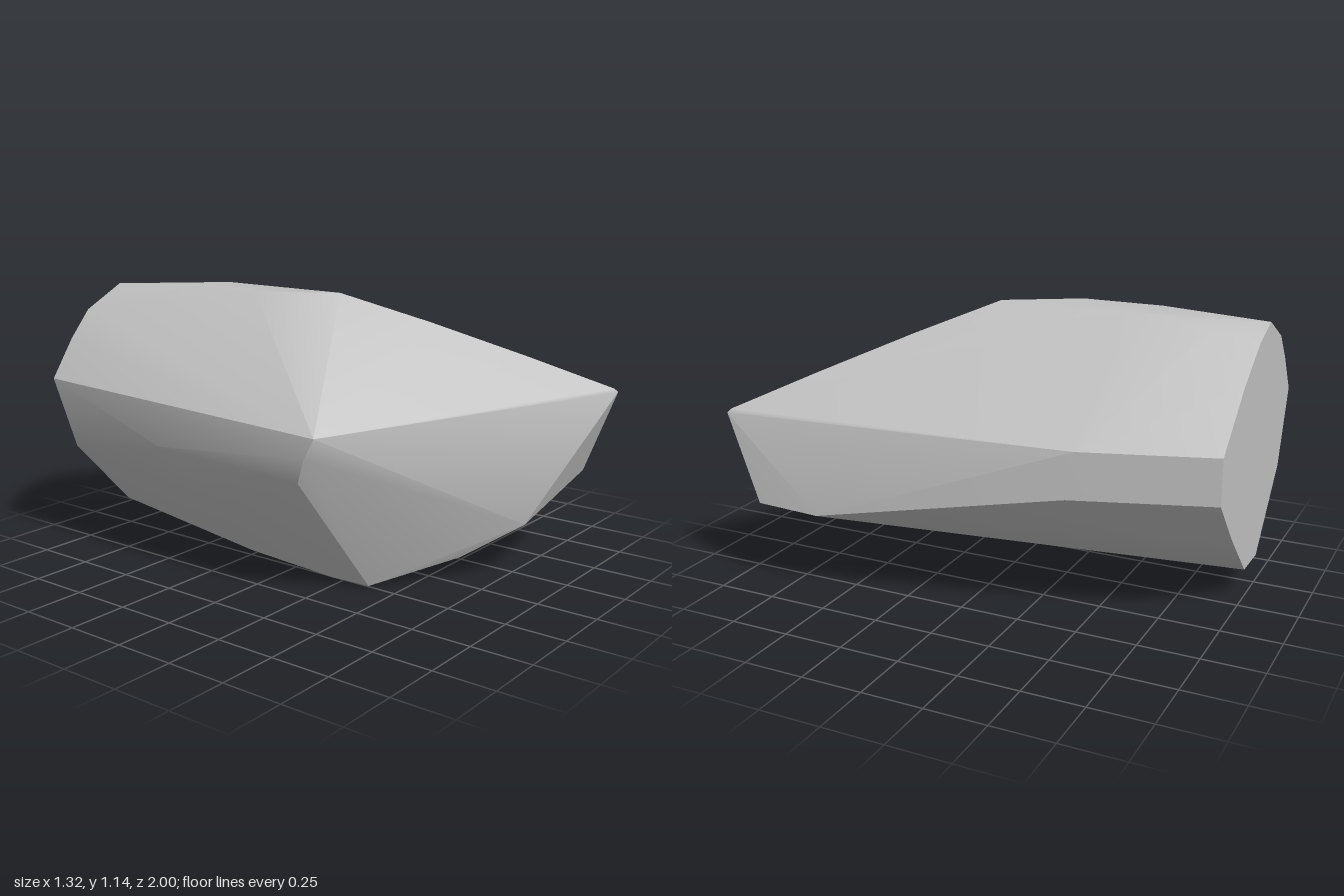
import * as THREE from 'three';
import { ConvexGeometry } from 'three/addons/geometries/ConvexGeometry.js';
import { toCreasedNormals } from 'three/addons/utils/BufferGeometryUtils.js';

// Outline of the flat cut at the back (x, y), at z = -1
const backCut = [
  [-0.26, 1.12], [-0.45, 1.025], [-0.55, 0.91], [-0.66, 0.75], [-0.55, 0.43], [-0.26, 0.12],
  [-0.08, 0.125], [0.14, 0.335], [0.33, 0.54], [0.33, 0.73], [0.09, 0.935], [-0.11, 1.065],
];

// Corners of the chipped stone in front of the cut (x, y, z)
const corners = [
  // front tip and right edge
  [0.64, 0.73, 1], [0.628, 0.745, 0.988], [0.66, 0.365, 0.85], [0.65, 0.35, 0.58],
  [0.51, 0.54, -0.45], [0.495, 0.73, -0.48],
  // lower front and underside
  [0.21, 0.23, 0.82], [0.04, 0.095, 0.62], [-0.245, 0, 0.37], [-0.265, 0.005, 0.2], [-0.26, 0.025, -0.23],
  // left side
  [-0.61, 0.685, 0.38], [-0.62, 0.6, 0.34], [-0.605, 0.5, 0.3], [-0.64, 0.54, -0.4], [-0.5, 0.3, -0.2],
  // top ridge
  [-0.08, 1.145, 0.1], [-0.26, 1.145, -0.2], [-0.08, 1.145, -0.5], [-0.26, 1.145, -0.55],
  [-0.36, 1.088, -0.75], [-0.08, 1.11, -0.82], [0.15, 1.025, 0.385], [0.4, 0.882, 0.7],
];

export function createModel() {
  const group = new THREE.Group();
  const stoneGrey = new THREE.MeshStandardMaterial({ color: 0xc0c0c0 });
  stoneGrey.name = 'stoneGrey';

  const points = [
    ...backCut.map(([x, y]) => new THREE.Vector3(x, y, -1)),
    ...corners.map((p) => new THREE.Vector3(...p)),
  ];
  // Gentle bends are smooth, strong edges stay sharp
  const rock = new THREE.Mesh(toCreasedNormals(new ConvexGeometry(points), 0.5), stoneGrey);
  rock.name = 'rock';
  group.add(rock);
  return group;
}
